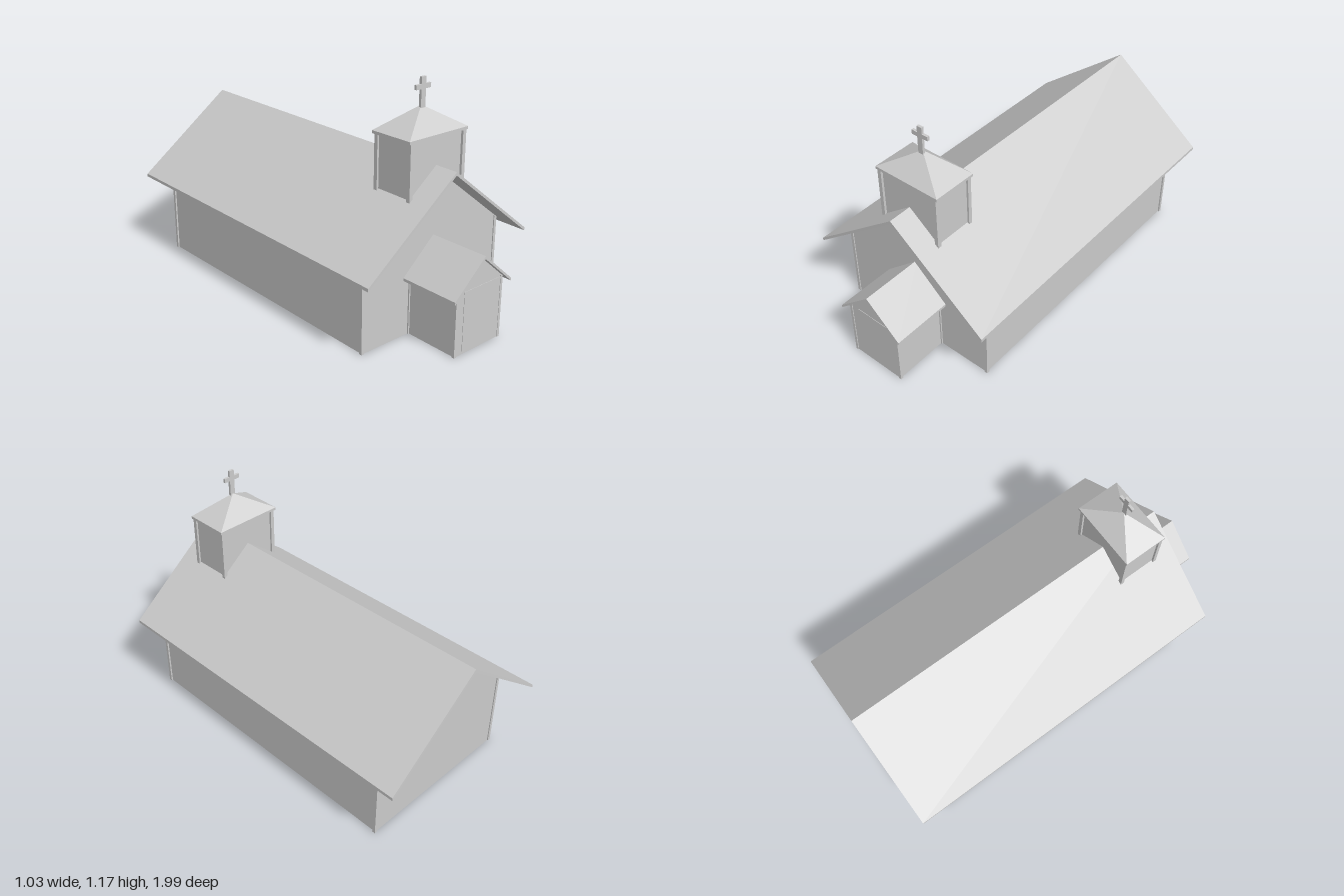
import * as THREE from 'three';

const mat = new THREE.MeshStandardMaterial({ color: 0xcccccc, flatShading: true, side: THREE.DoubleSide });

function add(parent, name, geometry, x = 0, y = 0, z = 0) {
  const mesh = new THREE.Mesh(geometry, mat);
  mesh.name = name;
  mesh.position.set(x, y, z);
  parent.add(mesh);
  return mesh;
}

const box = (w, h, d) => new THREE.BoxGeometry(w, h, d);
const outline = (pts) => new THREE.Shape(pts.map(([x, y]) => new THREE.Vector2(x, y)));

// House-shaped outline: upright sides and a pointed top
const gable = (w, eave, peak) => [[-w, 0], [w, 0], [w, eave], [0, peak], [-w, eave]];

// Thin pitched roof slab running from z0 to z1
function pitchedRoof(w, peak, leftEave, rightEave, t, z0, z1) {
  const shape = outline([[-w, leftEave], [0, peak], [w, rightEave],
    [w, rightEave - t], [0, peak - t], [-w, leftEave - t]]);
  return new THREE.ExtrudeGeometry(shape, { depth: z1 - z0, bevelEnabled: false }).translate(0, 0, z0);
}

// Thin side walls, mirrored in x
function sideWalls(parent, name, x, y0, y1, z0, z1) {
  for (const s of [-1, 1]) {
    const g = new THREE.PlaneGeometry(z1 - z0, y1 - y0).rotateY(s * Math.PI / 2);
    add(parent, name, g, s * x, (y0 + y1) / 2, (z0 + z1) / 2);
  }
}

// Trim posts on four corners
function cornerPosts(parent, name, x, y0, y1, zs, w) {
  for (const s of [-1, 1]) for (const z of zs) {
    add(parent, name, box(w, y1 - y0, w), s * x, (y0 + y1) / 2, z);
  }
}

function createNave() {
  const g = new THREE.Group();
  g.name = 'nave';
  // Front wall, open towards the porch
  const front = outline([[-0.432, 0], [-0.148, 0], [-0.148, 0.31], [0, 0.435], [0.148, 0.31],
    [0.148, 0], [0.432, 0], [0.432, 0.435], [0, 0.772], [-0.432, 0.435]]);
  add(g, 'naveFrontWall', new THREE.ShapeGeometry(front), 0, 0, 0.69);
  add(g, 'naveBackWall', new THREE.ShapeGeometry(outline(gable(0.432, 0.45, 0.788))), 0, 0, -0.84);
  sideWalls(g, 'naveSideWall', 0.432, 0, 0.44, -0.84, 0.69);
  cornerPosts(g, 'naveCornerPost', 0.432, 0, 0.435, [-0.837, 0.687], 0.016);
  // The ridge rises slightly towards the back
  const roof = add(g, 'naveRoof', pitchedRoof(0.513, 0.795, 0.402, 0.393, 0.016, -0.993, 0.807));
  roof.rotation.x = 0.0095;
  return g;
}

function createPorch() {
  const g = new THREE.Group();
  g.name = 'porch';
  add(g, 'porchFrontWall', new THREE.ShapeGeometry(outline(gable(0.145, 0.315, 0.444))), 0, 0, 0.975);
  add(g, 'porchDoor', box(0.24, 0.3, 0.004), 0.021, 0.155, 0.975);
  sideWalls(g, 'porchSideWall', 0.145, 0, 0.315, 0.69, 0.975);
  cornerPosts(g, 'porchCornerPost', 0.145, 0, 0.312, [0.69, 0.972], 0.014);
  add(g, 'porchRoof', pitchedRoof(0.185, 0.454, 0.293, 0.293, 0.014, 0.67, 1));
  return g;
}

function createTower() {
  const g = new THREE.Group();
  g.name = 'belfry';
  // End walls are notched to sit over the nave ridge
  const end = outline([[-0.166, 0.65], [0, 0.778], [0.166, 0.65], [0.166, 0.925], [-0.166, 0.925]]);
  for (const z of [0.488, 0.692]) add(g, 'belfryEndWall', new THREE.ShapeGeometry(end), 0, 0, z);
  sideWalls(g, 'belfrySideWall', 0.166, 0.65, 0.925, 0.488, 0.692);
  cornerPosts(g, 'belfryCornerPost', 0.166, 0.65, 0.925, [0.487, 0.694], 0.02);

  // Hipped cap with a thin eave board
  add(g, 'belfryEave', box(0.37, 0.014, 0.235), 0, 0.928, 0.588);
  const cap = new THREE.ConeGeometry(Math.SQRT1_2, 1, 4, 1, true).rotateY(Math.PI / 4).scale(0.37, 0.108, 0.235);
  add(g, 'belfryCap', cap, 0, 0.989, 0.588);

  // Cross
  add(g, 'crossUpright', box(0.028, 0.145, 0.013), 0, 1.1, 0.594);
  for (const s of [-1, 1]) add(g, 'crossArm', box(0.032, 0.022, 0.013), s * 0.03, 1.128, 0.594);
  return g;
}

export function createModel() {
  const church = new THREE.Group();
  church.name = 'church';
  church.add(createNave(), createPorch(), createTower());
  return church;
}
